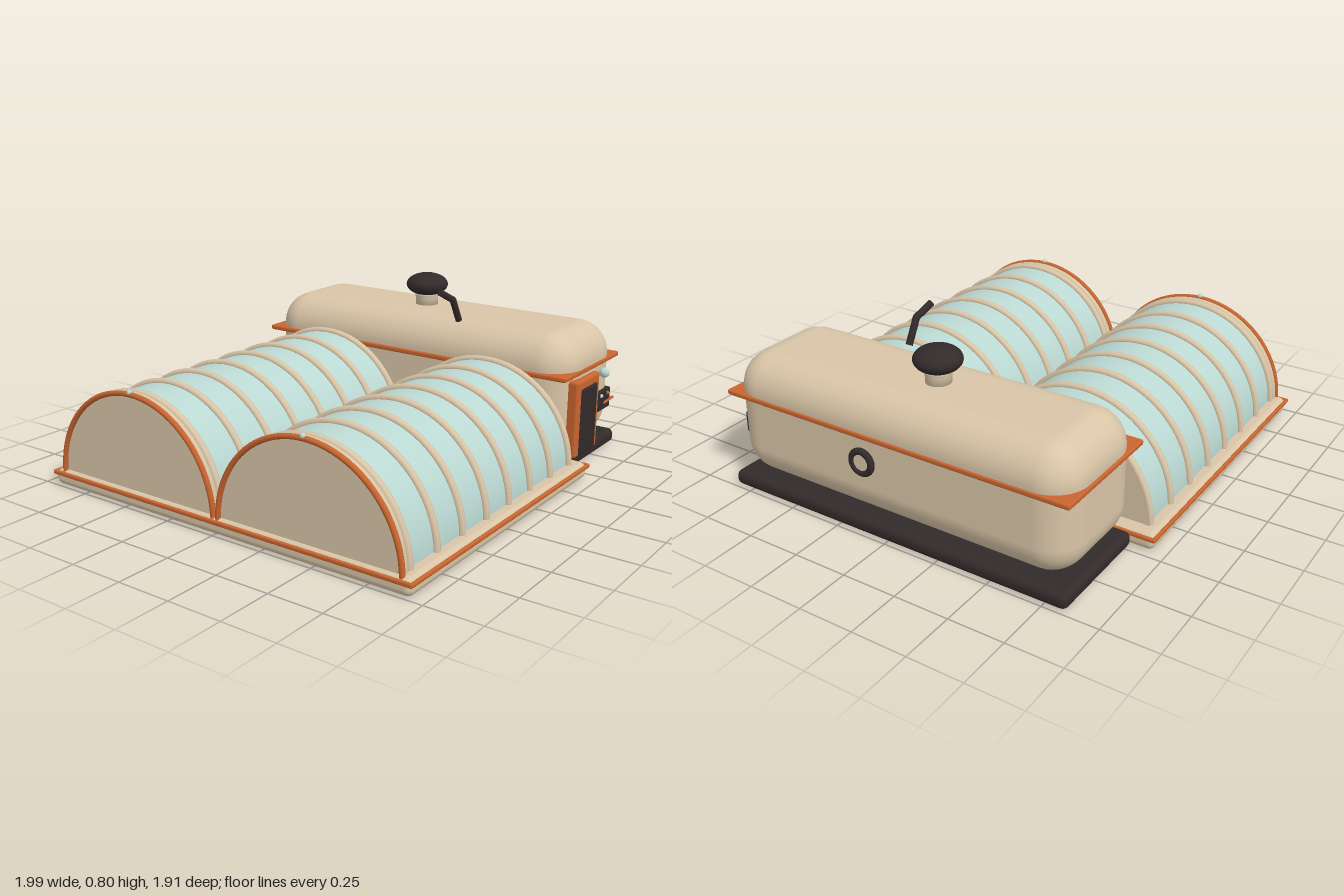
import * as THREE from 'three';
import { RoundedBoxGeometry } from 'three/addons/geometries/RoundedBoxGeometry.js';

const material = (name, color) => {
  const m = new THREE.MeshStandardMaterial({ color });
  m.name = name;
  return m;
};

export function createModel() {
  const cream = material('cream', 0xd9c5a7);
  const orange = material('orange', 0xc9652f);
  const dark = material('dark', 0x322a2b);
  const glass = material('glass', 0xbbd8d2);
  const root = new THREE.Group();
  root.name = 'greenhouseStation';

  const add = (name, geo, mat, x = 0, y = 0, z = 0, parent = root) => {
    const mesh = new THREE.Mesh(geo, mat);
    mesh.name = name;
    mesh.position.set(x, y, z);
    parent.add(mesh);
    return mesh;
  };
  // rounded box given by its min and max corners
  const block = (name, mat, [x0, y0, z0], [x1, y1, z1], r, seg = 4) =>
    add(name, new RoundedBoxGeometry(x1 - x0, y1 - y0, z1 - z0, seg, r), mat,
      (x0 + x1) / 2, (y0 + y1) / 2, (z0 + z1) / 2);

  // bases
  block('tray', cream, [-0.995, 0, -0.945], [0.465, 0.075, 0.945], 0.03);
  block('plinth', dark, [0.46, 0, -0.85], [0.99, 0.07, 0.845], 0.03);
  // trim strips around the tray
  for (const s of [-1, 1]) {
    block('trayTrimLong', orange, [-1, 0.047, s * 0.947 - 0.008], [0.47, 0.067, s * 0.947 + 0.008], 0.007, 2);
  }
  for (const x of [-0.992, 0.462]) {
    block('trayTrimShort', orange, [x - 0.008, 0.047, -0.947], [x + 0.008, 0.067, 0.947], 0.007, 2);
  }

  // two barrel vaults running along x
  const arch = (name, mat, x, radius, tube, parent) => {
    const geo = new THREE.TorusGeometry(radius, tube, 10, 40, Math.PI);
    geo.rotateY(Math.PI / 2);
    return add(name, geo, mat, x, 0, 0, parent);
  };
  for (const z of [-0.455, 0.455]) {
    const vault = new THREE.Group();
    vault.name = 'vault';
    vault.position.set(0, 0.06, z);
    root.add(vault);

    const shell = new THREE.CylinderGeometry(0.43, 0.43, 1.36, 48, 1, true, 0, Math.PI);
    shell.rotateZ(Math.PI / 2);
    add('glassShell', shell, glass, -0.28, 0, 0, vault);
    for (const [x, s] of [[-0.97, -1], [0.4, 1]]) {
      const wall = new THREE.CircleGeometry(0.44, 40, 0, Math.PI);
      wall.rotateY(s * Math.PI / 2);
      add('endWall', wall, cream, x, 0, 0, vault);
    }
    for (let i = 0; i < 8; i++) arch('rib', cream, -0.915 + i * 0.185, 0.432, 0.017, vault);
    arch('endRib', cream, -0.95, 0.43, 0.018, vault);
    arch('endRim', orange, -0.975, 0.442, 0.012, vault);
    add('topLamp', new THREE.SphereGeometry(0.012, 14, 10), glass, -0.977, 0.452, 0, vault);
  }

  // main cabin and its belt
  block('cabin', cream, [0.41, 0.065, -0.84], [0.97, 0.63, 0.84], 0.155, 10);
  block('cabinBelt', orange, [0.4, 0.44, -0.85], [0.977, 0.464, 0.845], 0.008, 2);

  // roof vent
  const neck = [[0, 0.61], [0.055, 0.61], [0.055, 0.665], [0.06, 0.675], [0.06, 0.69], [0, 0.69]]
    .map(([x, y]) => new THREE.Vector2(x, y));
  add('ventNeck', new THREE.LatheGeometry(neck, 32), cream, 0.69, 0, -0.07);
  const cap = new THREE.SphereGeometry(0.103, 32, 20);
  cap.scale(1, 0.54, 1);
  add('ventCap', cap, dark, 0.69, 0.73, -0.07);

  // bent roof pipe, built from capped straight pieces
  const rod = (name, mat, a, b, r) => {
    const from = new THREE.Vector3(...a), to = new THREE.Vector3(...b);
    const dir = to.clone().sub(from), mid = from.clone().add(to).multiplyScalar(0.5);
    const mesh = add(name, new THREE.CylinderGeometry(r, r, dir.length(), 14), mat, ...mid);
    mesh.quaternion.setFromUnitVectors(new THREE.Vector3(0, 1, 0), dir.normalize());
  };
  rod('pipeLower', dark, [0.478, 0.63, 0.243], [0.42, 0.738, 0.243], 0.016);
  rod('pipeUpper', dark, [0.42, 0.738, 0.243], [0.342, 0.783, 0.22], 0.016);
  add('pipeElbow', new THREE.SphereGeometry(0.016, 14, 10), dark, 0.42, 0.738, 0.243);

  // front door
  block('doorFrame', orange, [0.488, 0.06, 0.8], [0.722, 0.427, 0.868], 0.015);
  block('doorPanel', dark, [0.522, 0.065, 0.82], [0.69, 0.387, 0.876], 0.015);
  add('doorLamp', new THREE.SphereGeometry(0.024, 20, 14), glass, 0.75, 0.415, 0.875);

  // control panel with lights and lever
  block('controlPanel', dark, [0.737, 0.213, 0.82], [0.88, 0.312, 0.856], 0.008, 2);
  add('panelLightLeft', new THREE.SphereGeometry(0.01, 12, 8), glass, 0.773, 0.29, 0.857);
  add('panelLightRight', new THREE.SphereGeometry(0.01, 12, 8), orange, 0.842, 0.29, 0.857);
  rod('panelLever', orange, [0.808, 0.245, 0.855], [0.846, 0.276, 0.885], 0.006);

  // side porthole
  const ring = new THREE.TorusGeometry(0.049, 0.015, 14, 36);
  ring.rotateY(Math.PI / 2);
  add('portholeRing', ring, dark, 0.98, 0.34, 0.11);
  const pane = new THREE.CylinderGeometry(0.042, 0.042, 0.03, 32);
  pane.rotateZ(Math.PI / 2);
  add('portholePane', pane, cream, 0.972, 0.34, 0.11);

  return root;
}
